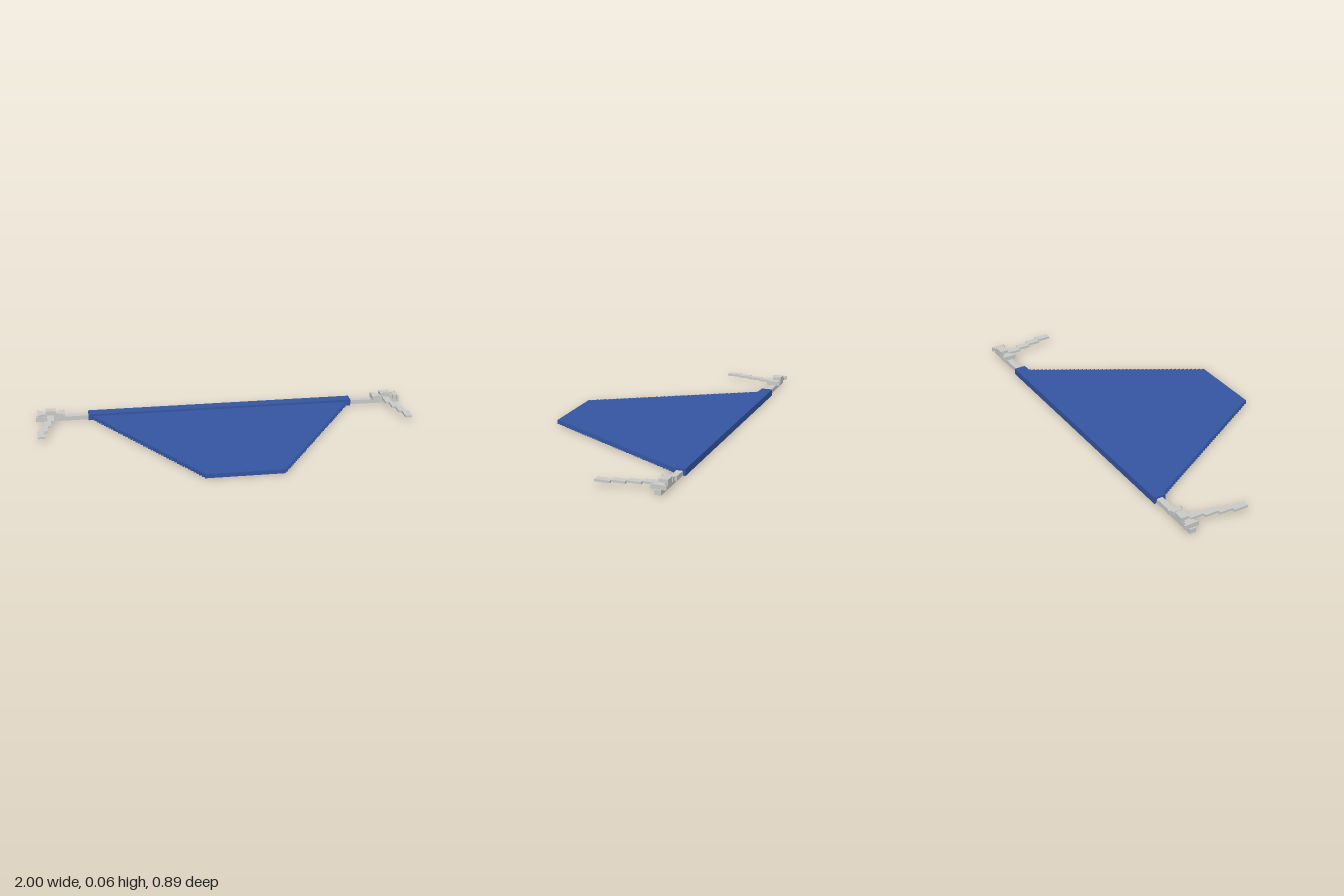
import * as THREE from 'three';

export function createModel() {
  const model = new THREE.Group();
  const blue = new THREE.MeshStandardMaterial({ name: 'blueCloth', color: 0x3556a2 });
  const grey = new THREE.MeshStandardMaterial({ name: 'paleGrey', color: 0xcacac8 });

  // Box given by its limits on each axis
  function box(name, mat, parent, x0, x1, y0, y1, z0, z1) {
    const mesh = new THREE.Mesh(new THREE.BoxGeometry(x1 - x0, y1 - y0, z1 - z0), mat);
    mesh.position.set((x0 + x1) / 2, (y0 + y1) / 2, (z0 + z1) / 2);
    mesh.name = name;
    parent.add(mesh);
    return mesh;
  }

  // Cloth panel with finely stepped slanting sides
  const steps = 44, zBack = -0.38, zFront = 0.445;
  const right = [];
  for (let i = 0; i < steps; i++) {
    const halfWidth = 0.69 + (0.2 - 0.69) * i / (steps - 1);
    for (const k of [i, i + 1]) {
      right.push(new THREE.Vector2(halfWidth, zBack + (zFront - zBack) * k / steps));
    }
  }
  const left = right.map(p => new THREE.Vector2(-p.x, p.y)).reverse();
  const clothGeo = new THREE.ExtrudeGeometry(new THREE.Shape([...right, ...left]), { depth: 0.022, bevelEnabled: false });
  clothGeo.rotateX(Math.PI / 2).translate(0, 0.022, 0);
  const cloth = new THREE.Mesh(clothGeo, blue);
  cloth.name = 'cloth';
  model.add(cloth);

  // Thick sleeve wrapped round the pole
  box('sleeve', blue, model, -0.72, 0.72, 0, 0.034, -0.439, -0.379);

  for (const s of [1, -1]) {
    const side = new THREE.Group();
    side.name = s > 0 ? 'leftEnd' : 'rightEnd';
    const part = (name, x0, x1, y0, y1, z0, z1) =>
      box(name, grey, side, s > 0 ? x0 : -x1, s > 0 ? x1 : -x0, y0, y1, z0, z1);

    // Bare end of the pole
    part('pole', 0.72, 1, 0, 0.023, -0.426, -0.394);

    // Bow with flared ends and a raised knot
    part('bowBand', 0.865, 0.98, 0.023, 0.042, -0.424, -0.396);
    part('bowInner', 0.845, 0.857, 0.023, 0.045, -0.447, -0.373);
    part('bowInnerStep', 0.857, 0.875, 0.023, 0.045, -0.436, -0.384);
    part('bowOuterStep', 0.963, 0.98, 0.023, 0.045, -0.436, -0.384);
    part('bowOuter', 0.98, 0.991, 0.023, 0.045, -0.447, -0.373);
    part('knot', 0.893, 0.948, 0.023, 0.057, -0.438, -0.395);

    // Hanging tie, stepping outwards
    const cuts = [-0.395, -0.315, -0.247, -0.18, -0.105];
    for (let i = 0; i < 4; i++) {
      const x = 0.922 + 0.0175 * i;
      part('tie', x - 0.018, x + 0.018, 0.023, 0.034, cuts[i], cuts[i + 1]);
    }
    model.add(side);
  }
  return model;
}
